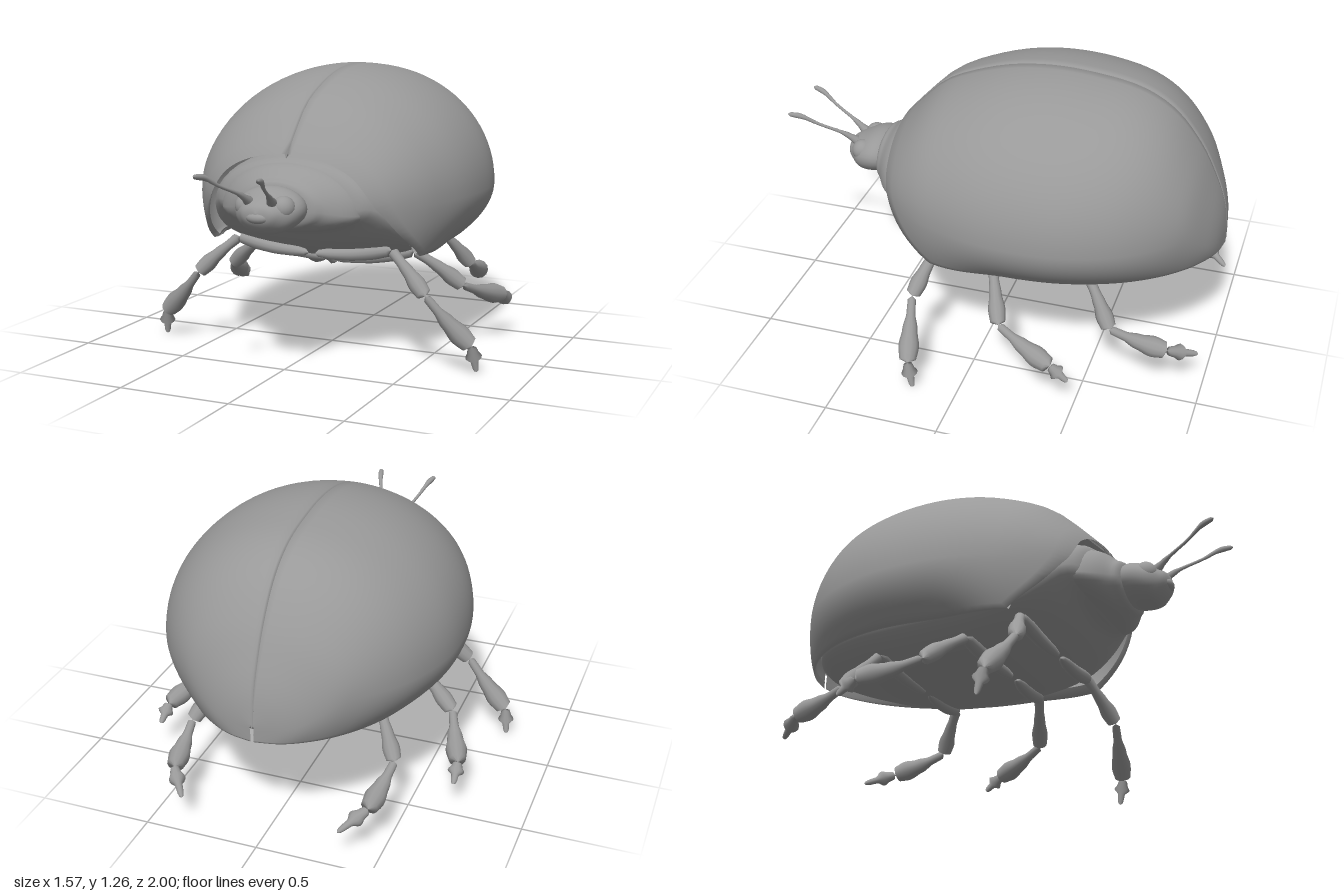
import * as THREE from 'three';

const material = new THREE.MeshStandardMaterial({ color: 0x999999, side: THREE.DoubleSide });
const V = (x, y, z) => new THREE.Vector3(x, y, z);

function addMesh(parent, name, geometry) {
  const mesh = new THREE.Mesh(geometry, material);
  mesh.name = name;
  parent.add(mesh);
  return mesh;
}

// Smooth lookup in rows [key, a, b, ...] sorted by falling key
function sample(rows, key, col) {
  let i = 0;
  while (i < rows.length - 2 && key < rows[i + 1][0]) i++;
  const slope = (k) => {
    const a = rows[Math.max(k - 1, 0)], b = rows[Math.min(k + 1, rows.length - 1)];
    return (b[col] - a[col]) / (b[0] - a[0]);
  };
  const [p, q] = [rows[i], rows[i + 1]];
  const h = q[0] - p[0], t = THREE.MathUtils.clamp((key - p[0]) / h, 0, 1);
  const t2 = t * t, t3 = t2 * t;
  return p[col] * (2 * t3 - 3 * t2 + 1) + q[col] * (3 * t2 - 2 * t3)
    + h * (slope(i) * (t3 - 2 * t2 + t) + slope(i + 1) * (t3 - t2));
}

// Grid of points, optionally closed around, wound so that the outside faces out
function surface(point, nu, nv, closed = false, flip = false) {
  const positions = [], index = [], w = closed ? nv : nv + 1;
  for (let i = 0; i <= nu; i++) {
    for (let j = 0; j < w; j++) positions.push(...point(i, j));
  }
  for (let i = 0; i < nu; i++) {
    for (let j = 0; j < nv; j++) {
      const a = i * w + j, b = i * w + (j + 1) % w, c = a + w, d = b + w;
      if (flip) index.push(a, c, b, b, c, d);
      else index.push(a, b, c, b, d, c);
    }
  }
  const g = new THREE.BufferGeometry();
  g.setAttribute('position', new THREE.Float32BufferAttribute(positions, 3));
  g.setIndex(index);
  g.computeVertexNormals();
  return g;
}

// Rounded loft along z; rows are [z, half width, top, middle, bottom]
function loft(rows, nu, nv) {
  const z0 = rows[0][0], z1 = rows[rows.length - 1][0];
  return surface((i, j) => {
    const z = z0 + (z1 - z0) * (1 - Math.cos(Math.PI * i / nu)) / 2;
    const a = 2 * Math.PI * j / nv, c = Math.cos(a);
    const mid = sample(rows, z, 3);
    const reach = c > 0 ? sample(rows, z, 2) - mid : mid - sample(rows, z, 4);
    return [Math.max(0, sample(rows, z, 1)) * Math.sin(a), mid + reach * c, z];
  }, nu, nv, true);
}

// Tube with changing thickness, closed at both ends
function limb(points, radii, segments = 20, sides = 12) {
  const curve = new THREE.CatmullRomCurve3(points);
  const g = new THREE.TubeGeometry(curve, segments, 1, sides);
  const pos = g.attributes.position, p = V(0, 0, 0);
  for (let i = 0; i <= segments; i++) {
    const c = curve.getPointAt(i / segments);
    const t = (i / segments) * (radii.length - 1), k = Math.min(Math.floor(t), radii.length - 2);
    const r = i % segments === 0 ? 0 : THREE.MathUtils.lerp(radii[k], radii[k + 1], THREE.MathUtils.smoothstep(t - k, 0, 1));
    for (let j = 0; j <= sides; j++) {
      const n = i * (sides + 1) + j;
      p.fromBufferAttribute(pos, n).sub(c).multiplyScalar(r).add(c);
      pos.setXYZ(n, p.x, p.y, p.z);
    }
  }
  return g;
}

// Shell rows: z, half width, top height
const shellRows = [
  [0.47, 0.33, 0.925], [0.4, 0.42, 1.0], [0.3, 0.5, 1.1], [0.2, 0.555, 1.16], [0, 0.62, 1.23],
  [-0.2, 0.643, 1.258], [-0.4, 0.63, 1.25], [-0.6, 0.565, 1.212], [-0.75, 0.47, 1.125],
  [-0.87, 0.345, 0.975], [-0.95, 0.21, 0.81], [-0.985, 0.11, 0.7], [-1, 0.008, 0.6],
];
// Front edge of the shell: height parameter -> z
const edgeRows = [[1, 0.47], [0.6, 0.455], [0.25, 0.445], [0, 0.425], [-0.5, 0.34], [-1, 0.2]];

function wingCase(side) {
  const nu = 44, nv = 36, upper = 22, lower = 11;
  const { lerp, clamp, smoothstep } = THREE.MathUtils;
  return surface((i, j) => {
    // first row turns inward to give the front edge its thickness
    const inner = i === 0, s = inner ? 0.01 : (i - 1) / (nu - 1);
    const jj = clamp(j - 1, 0, upper + lower);
    const a = Math.min(jj / upper, 1) * Math.PI / 2, k = Math.max(0, (jj - upper) / lower);
    const front = sample(edgeRows, k > 0 ? -k : Math.cos(a), 1);
    const z = lerp(front, -1, Math.sin(s * Math.PI / 2));
    const w = sample(shellRows, z, 1), top = sample(shellRows, z, 2);
    const mid = lerp(0.71, 0.585, smoothstep(-z, 0.85, 1));
    const rim = lerp(0.48, 0.52, smoothstep(-z, -0.3, 0.9));
    const curl = lerp(0.1, 0.19, smoothstep(-z, -0.2, 0.15));
    let x = Math.max(w * Math.sin(a) * (1 - curl * k * k), 0.006);
    let y = mid + (top - mid) * Math.cos(a) - (mid - rim) * k;
    // seam wall and inward lip along the lower rim
    if (j === 0) { x = 0; y -= 0.02; }
    if (j > upper + lower + 1) {
      x *= 1 - 0.04 * (j - upper - lower - 1);
      y += j === nv ? 0.035 : 0.005;
    }
    if (inner) { x *= 0.95; y = mid + (y - mid) * 0.95; }
    return [side * x, y, z];
  }, nu, nv, false, side < 0);
}

// Joints of each leg: hip, knee, middle joint, ankle, toe
const legs = {
  front: [V(0.015, 0.455, 0.22), V(0.37, 0.495, 0.2), V(0.55, 0.325, 0.265), V(0.745, 0.115, 0.22), V(0.76, 0, 0.195)],
  middle: [V(0.02, 0.39, 0), V(0.38, 0.445, -0.05), V(0.585, 0.285, -0.14), V(0.685, 0.2, -0.4), V(0.69, 0.14, -0.48)],
  hind: [V(0.02, 0.395, -0.44), V(0.36, 0.45, -0.48), V(0.465, 0.28, -0.6), V(0.435, 0.2, -0.85), V(0.345, 0.145, -0.97)],
};

function buildLeg(name, joints, side) {
  const leg = new THREE.Group();
  leg.name = name;
  const [hip, knee, joint, ankle, toe] = joints.map((p) => V(p.x * side, p.y, p.z));
  const mid = (a, b, dy) => a.clone().lerp(b, 0.5).add(V(0, dy, 0));
  addMesh(leg, 'thigh', limb([hip, mid(hip, knee, -0.01), knee], [0.015, 0.026, 0.03, 0.032, 0.026]));
  addMesh(leg, 'upperShin', limb([knee, mid(knee, joint, 0.005), joint], [0.024, 0.022, 0.028, 0.038, 0.032]));
  addMesh(leg, 'lowerShin', limb([joint, mid(joint, ankle, -0.008), ankle], [0.018, 0.02, 0.034, 0.046, 0.036]));
  addMesh(leg, 'foot', limb([ankle, mid(ankle, toe, 0), toe], [0.018, 0.024, 0.036, 0.016, 0.014, 0.008]));
  return leg;
}

export function createModel() {
  const model = new THREE.Group();
  model.name = 'beetle';

  // Body under the shell
  addMesh(model, 'body', loft([
    [0.5, 0, 0.72, 0.7, 0.68], [0.47, 0.26, 0.87, 0.71, 0.61], [0.4, 0.37, 0.91, 0.7, 0.585],
    [0.32, 0.42, 0.93, 0.64, 0.53], [0.2, 0.455, 0.93, 0.57, 0.47], [0.05, 0.485, 0.93, 0.56, 0.41],
    [-0.2, 0.5, 0.93, 0.56, 0.385], [-0.4, 0.49, 0.93, 0.56, 0.39], [-0.6, 0.445, 0.9, 0.56, 0.425],
    [-0.8, 0.32, 0.8, 0.56, 0.485], [-0.92, 0.15, 0.65, 0.56, 0.525], [-0.95, 0, 0.57, 0.56, 0.55],
  ], 44, 40));

  // Collar between shell and head
  addMesh(model, 'collar', loft([
    [0.585, 0, 0.73, 0.72, 0.71], [0.575, 0.14, 0.81, 0.71, 0.645], [0.54, 0.205, 0.835, 0.7, 0.615],
    [0.49, 0.28, 0.875, 0.685, 0.6], [0.43, 0.325, 0.89, 0.68, 0.6], [0.37, 0.31, 0.87, 0.68, 0.62],
    [0.33, 0, 0.72, 0.7, 0.68],
  ], 28, 36));

  // Head with a blunt snout
  addMesh(model, 'head', loft([
    [0.755, 0, 0.72, 0.71, 0.7], [0.745, 0.055, 0.745, 0.71, 0.675], [0.72, 0.09, 0.765, 0.71, 0.645],
    [0.68, 0.13, 0.785, 0.71, 0.622], [0.62, 0.153, 0.81, 0.72, 0.622], [0.57, 0.145, 0.808, 0.72, 0.635],
    [0.52, 0.1, 0.77, 0.72, 0.66], [0.5, 0, 0.73, 0.72, 0.71],
  ], 28, 32));
  const mouth = addMesh(model, 'mouth', new THREE.SphereGeometry(0.05, 20, 14));
  mouth.scale.set(1.1, 0.55, 0.7);
  mouth.position.set(0, 0.7, 0.727);

  for (const side of [1, -1]) {
    const label = side > 0 ? 'left' : 'right';
    addMesh(model, label + 'WingCase', wingCase(side));

    // Low brow bulge
    const brow = addMesh(model, label + 'Brow', new THREE.SphereGeometry(0.05, 20, 14));
    brow.position.set(side * 0.083, 0.735, 0.665);

    // Feeler with a small club at the tip
    addMesh(model, label + 'Feeler', limb(
      [V(side * 0.05, 0.755, 0.7), V(side * 0.065, 0.795, 0.76), V(side * 0.1, 0.845, 0.87), V(side * 0.125, 0.885, 0.94), V(side * 0.142, 0.897, 1)],
      [0.024, 0.014, 0.008, 0.007, 0.007, 0.009, 0.013, 0.01], 28, 10));

    for (const [name, joints] of Object.entries(legs)) {
      model.add(buildLeg(label + name[0].toUpperCase() + name.slice(1) + 'Leg', joints, side));
    }
  }
  return model;
}
